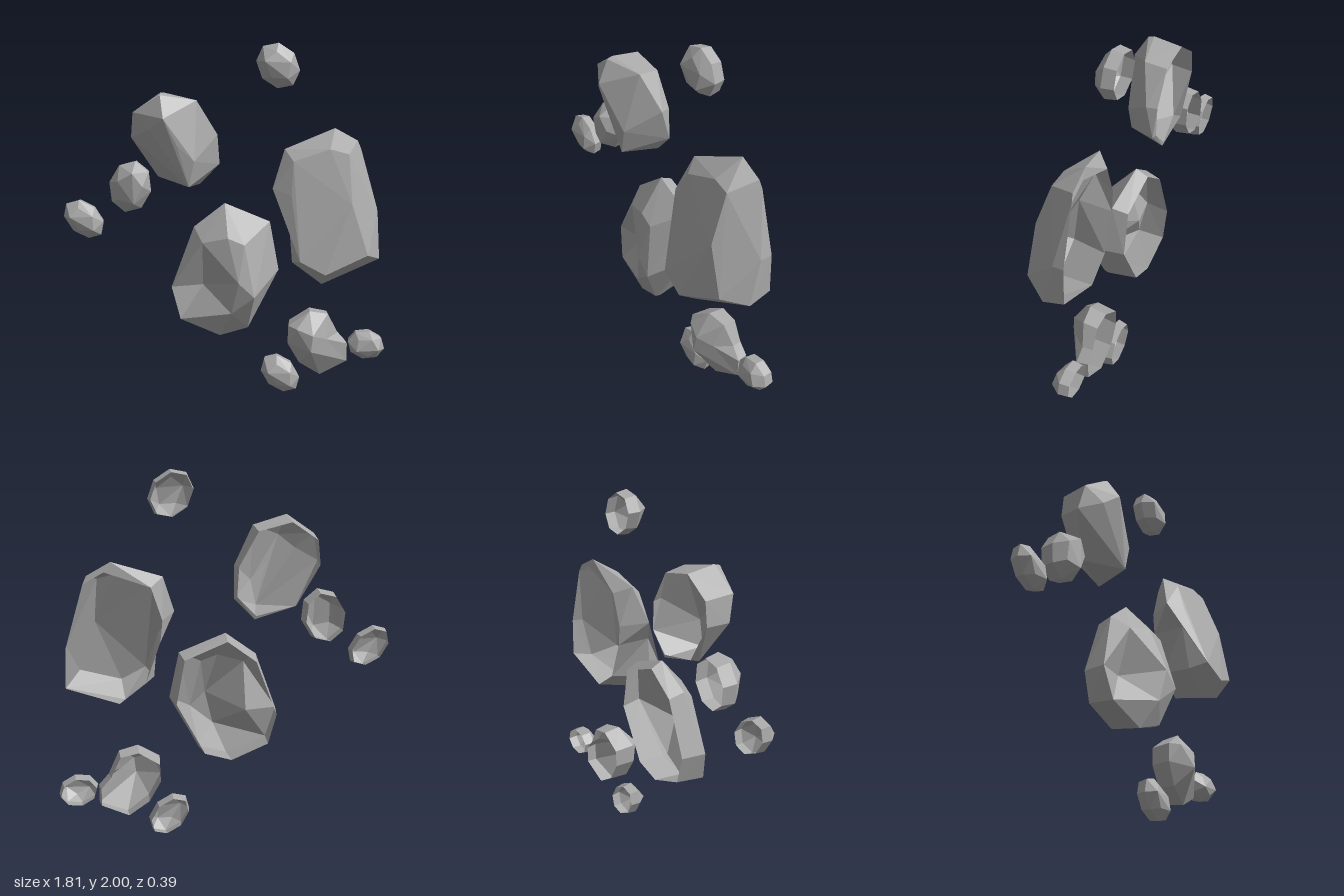
import * as THREE from 'three';
import { ConvexGeometry } from 'three/addons/geometries/ConvexGeometry.js';

const stone = new THREE.MeshStandardMaterial({ color: 0xaaaaaa, side: THREE.DoubleSide, flatShading: true });
stone.name = 'stone grey';

// Faceted shell, open at the flat back: rim on the back plane, widest ring, then front corners
function makeShell(name, outline, front, back, taper, rimShift = 0) {
  const centre = outline.reduce((s, p) => s.add(p), new THREE.Vector3()).divideScalar(outline.length);
  const rim = outline.map((p) => {
    const r = p.clone().lerp(centre, 1 - taper);
    r.x += rimShift;
    r.z = back;
    return r;
  });
  const hull = new ConvexGeometry([...outline, ...rim, ...front]).getAttribute('position');
  const kept = [];
  for (let i = 0; i < hull.count; i += 3) {
    const corners = [i, i + 1, i + 2];
    if (corners.every((c) => Math.abs(hull.getZ(c) - back) < 1e-4)) continue;
    for (const c of corners) kept.push(hull.getX(c), hull.getY(c), hull.getZ(c));
  }
  const geometry = new THREE.BufferGeometry();
  geometry.setAttribute('position', new THREE.Float32BufferAttribute(kept, 3));
  geometry.computeVertexNormals();
  const mesh = new THREE.Mesh(geometry, stone);
  mesh.name = name;
  return mesh;
}

// Large rock: the widest ring lies on a plane through depth mid, leaning by slopeX and slopeY
function makeRock({ name, centre, outline, front, back, mid, slopeX = 0, slopeY = 0, taper, rimShift }) {
  const ring = outline.map(([x, y]) => {
    const z = mid + slopeX * (x - centre[0]) + slopeY * (y - centre[1]);
    return new THREE.Vector3(x, y, Math.max(back + 0.005, z));
  });
  return makeShell(name, ring, front.map((p) => new THREE.Vector3(...p)), back, taper, rimShift);
}

// Pebble: a tilted oval of eight sides with a smaller, uneven ring of five corners in front
function makePebble(name, x, y, long, short, tilt, back, front) {
  const ring = (sides, size, depth) => Array.from({ length: sides }, (_, i) => {
    const t = (i / sides) * Math.PI * 2;
    const u = long * size * Math.cos(t);
    const v = short * size * Math.sin(t);
    return new THREE.Vector3(
      x + u * Math.cos(tilt) - v * Math.sin(tilt),
      y + u * Math.sin(tilt) + v * Math.cos(tilt),
      depth(i),
    );
  });
  const widest = ring(8, 1, () => (back + front) / 2);
  const face = ring(5, 0.62, (i) => front - 0.012 * (i % 3));
  return makeShell(name, widest, face, back, 0.92);
}

// Corners near one point are pushed inwards to make a notch
function notch(mesh, x, y, dx, dz, back) {
  const position = mesh.geometry.getAttribute('position');
  for (let i = 0; i < position.count; i++) {
    if (Math.hypot(position.getX(i) - x, position.getY(i) - y) > 0.035) continue;
    position.setX(i, position.getX(i) + dx);
    position.setZ(i, Math.max(back, position.getZ(i) + dz));
  }
  mesh.geometry.computeVertexNormals();
}

export function createModel() {
  const group = new THREE.Group();
  group.name = 'rockCluster';

  // Large rocks
  const upperLeft = makeRock({
    name: 'upperLeftRock', centre: [-0.28, 1.48], back: -0.185, mid: -0.1, slopeX: -0.15, slopeY: 0.25, taper: 0.93,
    outline: [[-0.35, 1.745], [-0.16, 1.7], [-0.05, 1.505], [-0.04, 1.335],
      [-0.15, 1.22], [-0.38, 1.27], [-0.515, 1.5], [-0.5, 1.64]],
    front: [[-0.35, 1.735, 0.01], [-0.33, 1.62, 0.08], [-0.41, 1.555, 0.03], [-0.26, 1.475, 0.06],
      [-0.17, 1.385, 0.035], [-0.2, 1.245, 0.03]],
  });
  const centreRock = makeRock({
    name: 'centreRock', centre: [0, 0.76], back: -0.165, mid: -0.04, slopeY: -0.15, taper: 0.92,
    outline: [[-0.01, 1.13], [0.24, 1.03], [0.29, 0.765], [0.125, 0.447],
      [-0.035, 0.395], [-0.255, 0.485], [-0.305, 0.665], [-0.18, 1]],
    front: [[0.01, 0.965, 0.05], [-0.13, 0.93, 0.015], [0.1, 0.93, 0.06], [0.07, 0.73, 0.118],
      [0.155, 0.65, 0.12], [0.03, 0.55, 0.095], [-0.13, 0.67, 0.065], [-0.18, 0.54, 0.02], [0.12, 0.45, 0.035]],
  });
  notch(centreRock, -0.13, 0.67, 0, -0.125, -0.165);
  const largeRight = makeRock({
    name: 'largeRightRock', centre: [0.53, 1.17], back: -0.135, mid: -0.03, slopeX: -0.2, slopeY: -0.25,
    taper: 0.87, rimShift: 0.045,
    outline: [[0.59, 1.543], [0.715, 1.475], [0.83, 1.09], [0.84, 0.84], [0.52, 0.722],
      [0.357, 0.845], [0.265, 1.1], [0.25, 1.235], [0.315, 1.44]],
    front: [[0.395, 0.875, 0.185], [0.53, 0.805, 0.195], [0.76, 0.895, 0.125], [0.655, 1.425, 0.02],
      [0.555, 1.45, 0.01], [0.36, 1.385, 0.02], [0.35, 1.21, 0.07], [0.67, 1.17, 0.115]],
  });
  notch(largeRight, 0.265, 1.1, 0.07, 0.02, -0.135);
  const lowerRight = makeRock({
    name: 'lowerRightRock', centre: [0.52, 0.32], back: -0.165, mid: -0.075, slopeX: -0.15, taper: 0.94,
    outline: [[0.47, 0.51], [0.575, 0.49], [0.67, 0.37], [0.69, 0.305], [0.69, 0.2],
      [0.535, 0.125], [0.415, 0.205], [0.347, 0.325], [0.35, 0.43]],
    front: [[0.395, 0.425, 0], [0.485, 0.395, 0.03], [0.565, 0.36, 0.025], [0.475, 0.305, 0.04]],
  });
  notch(lowerRight, 0.67, 0.37, -0.035, -0.01, -0.165);
  notch(lowerRight, 0.565, 0.36, 0, -0.05, -0.165);
  group.add(upperLeft, centreRock, largeRight, lowerRight);

  // Pebbles
  group.add(
    makePebble('topPebble', 0.275, 1.88, 0.132, 0.108, -0.9, -0.17, -0.04),
    makePebble('leftSmallRock', -0.533, 1.215, 0.147, 0.118, 1.35, -0.195, -0.035),
    makePebble('farLeftPebble', -0.797, 1.03, 0.13, 0.09, -0.75, -0.165, -0.062),
    makePebble('bottomPebble', 0.31, 0.112, 0.132, 0.092, -0.78, -0.165, -0.055),
    makePebble('rightPebble', 0.8, 0.294, 0.107, 0.085, -0.2, -0.165, -0.05),
  );
  return group;
}
